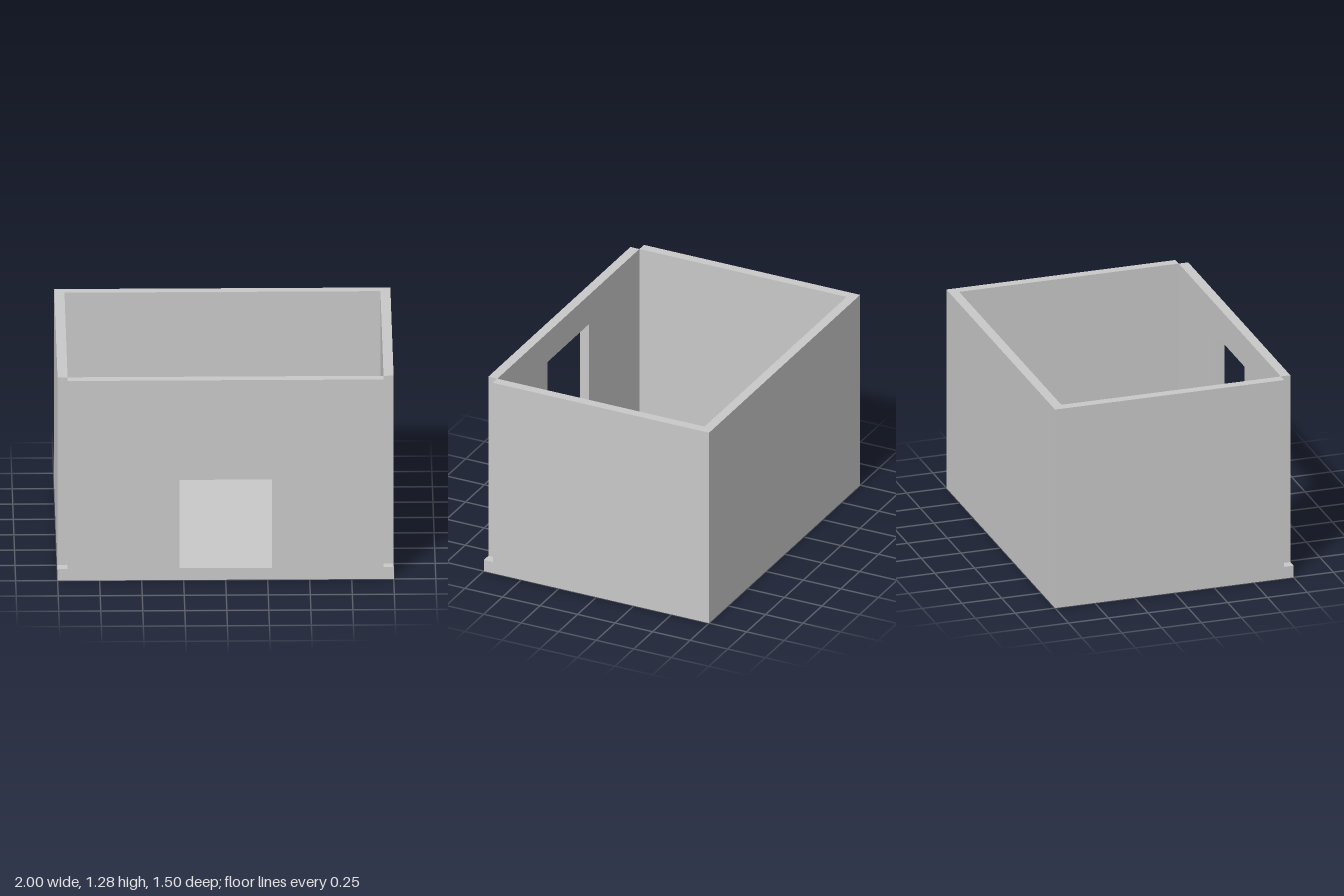
import * as THREE from 'three';

const W = 2, D = 1.5, H = 1.275; // overall size
const BASE = 0.075, T = 0.06;    // slab height and wall thickness

export function createModel() {
  const group = new THREE.Group();
  const plaster = new THREE.MeshStandardMaterial({ color: 0xc8c8c8 });
  plaster.name = 'light grey plaster';

  function add(name, geometry, x, y, z) {
    const mesh = new THREE.Mesh(geometry, plaster);
    mesh.name = name;
    mesh.position.set(x, y, z);
    group.add(mesh);
  }

  // Floor slab under the whole room
  add('floorSlab', new THREE.BoxGeometry(W, BASE, D), 0, BASE / 2, 0);

  // Back wall across the full width
  const wallH = H - BASE, wallY = BASE + wallH / 2;
  add('backWall', new THREE.BoxGeometry(W, wallH, T), 0, wallY, -D / 2 + T / 2);

  // Side walls stop short of the front, leaving open corner notches
  for (const side of [-1, 1]) {
    add(side < 0 ? 'rightWall' : 'leftWall',
      new THREE.BoxGeometry(T, wallH, D - 2 * T), side * (W / 2 - T / 2), wallY, 0);
  }

  // Front wall between the notches, with the doorway cut down to the slab
  const half = W / 2 - T, door = 0.275, doorH = 1.005;
  const outline = new THREE.Shape([
    [-half, 0], [-door, 0], [-door, doorH], [door, doorH],
    [door, 0], [half, 0], [half, wallH], [-half, wallH],
  ].map(([x, y]) => new THREE.Vector2(x, y)));
  add('frontWall', new THREE.ExtrudeGeometry(outline, { depth: T, bevelEnabled: false }),
    0, BASE, D / 2 - T);

  return group;
}
